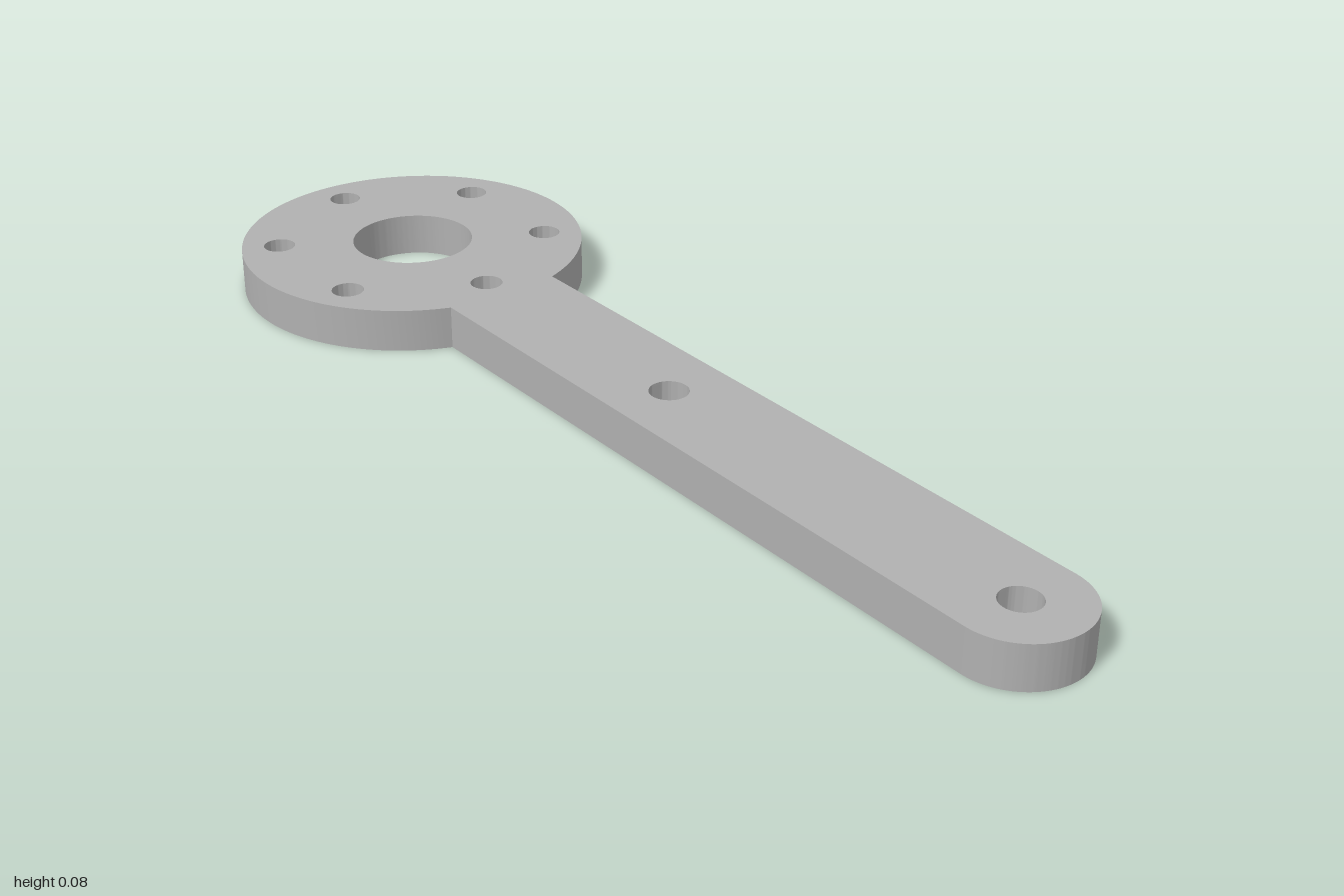
import * as THREE from 'three';
import { toCreasedNormals } from 'three/addons/utils/BufferGeometryUtils.js';

const THICKNESS = 0.078;
const HUB = { x: -0.68, radius: 0.32, bore: 0.112 };
const ARM = { endX: 0.89, halfWidth: 0.11 };
const BOLTS = { count: 6, circle: 0.25, radius: 0.029 };

export function createModel() {
  const metal = new THREE.MeshStandardMaterial({ color: 0xb0b0b0 });
  metal.name = 'grey metal';

  // Outline: round hub running into a straight arm with a rounded end
  const join = Math.asin(ARM.halfWidth / HUB.radius);
  const outline = new THREE.Shape();
  outline.absarc(HUB.x, 0, HUB.radius, join, 2 * Math.PI - join, false);
  outline.absarc(ARM.endX, 0, ARM.halfWidth, -Math.PI / 2, Math.PI / 2, false);
  outline.closePath();

  const drill = (x, y, radius) => {
    const hole = new THREE.Path();
    hole.absarc(x, y, radius, 0, 2 * Math.PI, true);
    outline.holes.push(hole);
  };

  // Central bore and ring of bolt holes
  drill(HUB.x, 0, HUB.bore);
  for (let i = 0; i < BOLTS.count; i++) {
    const a = (i / BOLTS.count) * 2 * Math.PI;
    drill(HUB.x + BOLTS.circle * Math.cos(a), BOLTS.circle * Math.sin(a), BOLTS.radius);
  }

  // Two holes along the arm
  for (const x of [0.105, ARM.endX]) drill(x, 0, 0.034);

  // Lay the plate flat on the ground
  const plate = new THREE.ExtrudeGeometry(outline, {
    depth: THICKNESS, bevelEnabled: false, curveSegments: 64,
  });
  plate.rotateX(-Math.PI / 2);

  const mesh = new THREE.Mesh(toCreasedNormals(plate, 0.5), metal);
  mesh.name = 'leverArmPlate';

  const model = new THREE.Group();
  model.name = 'leverArm';
  model.add(mesh);
  return model;
}
